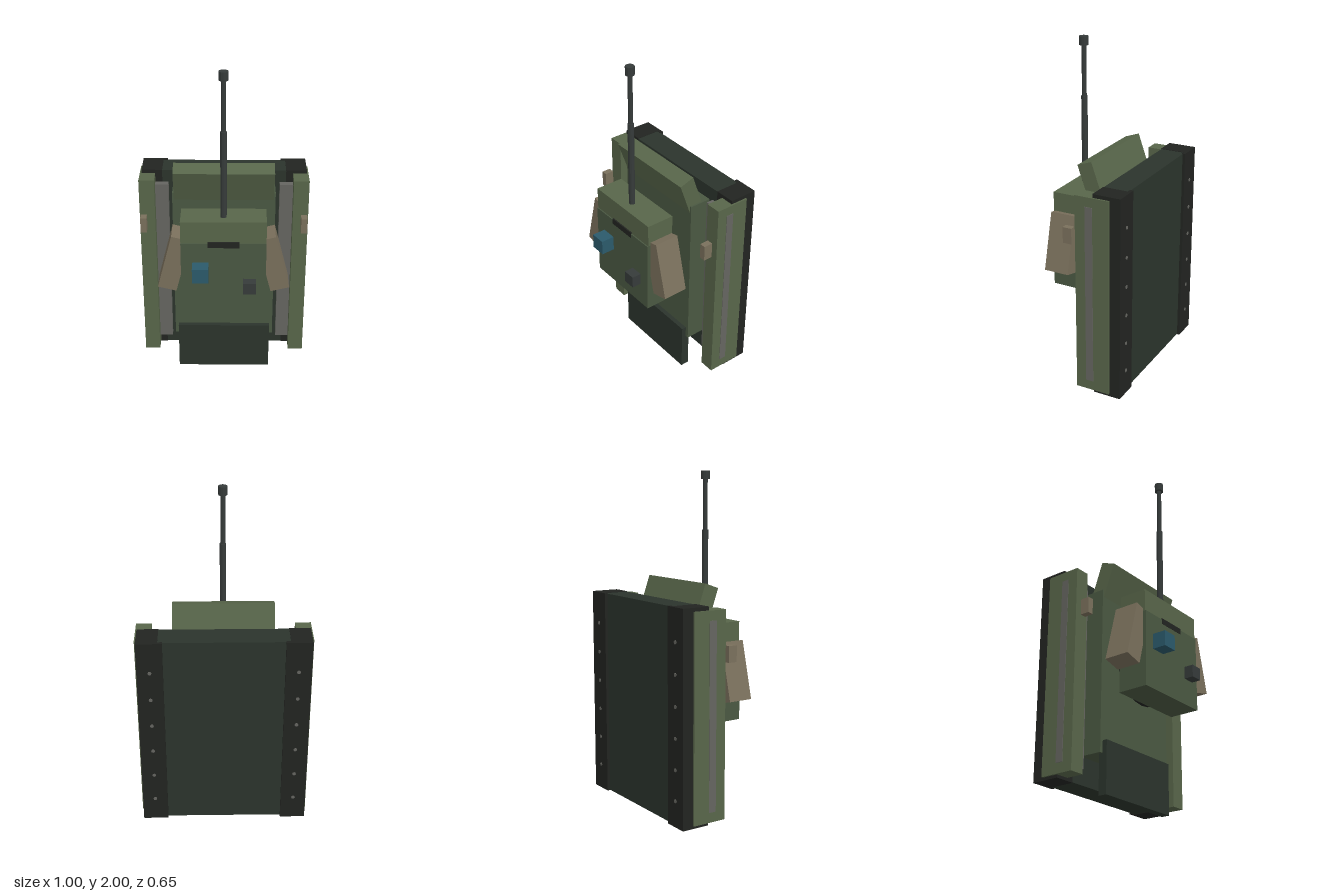
import * as THREE from 'three';

const mat = (color) => new THREE.MeshStandardMaterial({ color, flatShading: true });

export function createModel() {
  const model = new THREE.Group();
  const green = mat(0x58664a), olive = mat(0x4a5842), deep = mat(0x2b342c);
  const black = mat(0x222421), grey = mat(0x656560), tan = mat(0x7a705c);
  const steel = mat(0x363b3a), blue = mat(0x2b5a6b);

  const add = (name, geometry, material, x, y, z) => {
    const mesh = new THREE.Mesh(geometry, material);
    mesh.name = name;
    mesh.position.set(x, y, z);
    model.add(mesh);
    return mesh;
  };
  // Box given by its lower and upper limits on each axis
  const box = (name, material, [x0, x1], [y0, y1], [z0, z1]) =>
    add(name, new THREE.BoxGeometry(x1 - x0, y1 - y0, z1 - z0), material,
      (x0 + x1) / 2, (y0 + y1) / 2, (z0 + z1) / 2);
  // Mirrored pair of boxes, limits given for the left side
  const pair = (name, material, [x0, x1], y, z) => {
    box(name + 'Left', material, [x0, x1], y, z);
    box(name + 'Right', material, [-x1, -x0], y, z);
  };

  // Hull, standing upright with its belly to the back
  box('lowerHull', deep, [-0.366, 0.366], [0.073, 1.283], [-0.305, -0.155]);
  box('upperHull', olive, [-0.3, 0.3], [0.23, 1.2], [-0.156, -0.022]);
  box('rearFlap', deep, [-0.28, 0.28], [0, 0.3], [-0.045, 0.006]);
  const glacis = add('glacisPlate', new THREE.BoxGeometry(0.58, 0.3, 0.092), green, 0, 1.227, -0.046);
  glacis.rotation.x = 0.34;

  // Tracks, skirts and side details
  pair('track', black, [0.364, 0.485], [0.07, 1.286], [-0.31, -0.154]);
  pair('trackTread', black, [0.338, 0.485], [0.07, 1.286], [-0.321, -0.3]);
  pair('skirt', green, [0.405, 0.495], [0.087, 1.265], [-0.255, -0.05]);
  pair('sideRail', grey, [0.327, 0.498], [0.145, 1.21], [-0.157, -0.112]);
  pair('lamp', tan, [0.45, 0.486], [0.967, 1.06], [-0.022, 0.032]);
  for (const side of [1, -1]) {
    for (let i = 0; i < 6; i++) {
      const bolt = add('trackBolt', new THREE.CylinderGeometry(0.011, 0.011, 0.012, 8), grey,
        side * 0.412, 0.22 + i * 0.176, -0.318);
      bolt.rotation.x = Math.PI / 2;
    }
  }

  // Turret with ring, cheek plates and sights
  const ring = add('turretRing', new THREE.CylinderGeometry(0.22, 0.22, 0.04, 24), black, 0, 0.79, 0.045);
  ring.rotation.x = Math.PI / 2;
  box('turretBody', olive, [-0.243, 0.243], [0.565, 1.012], [0.058, 0.241]);
  box('turretFront', green, [-0.243, 0.243], [1.012, 1.145], [0.065, 0.234]);
  box('mantletSlot', black, [-0.09, 0.09], [0.985, 1.02], [0.2, 0.242]);
  for (const side of [1, -1]) {
    const cheek = add(side > 0 ? 'cheekPlateLeft' : 'cheekPlateRight',
      new THREE.BoxGeometry(0.11, 0.341, 0.15), tan, side * 0.284, 0.866, 0.145);
    cheek.rotation.z = side * 0.25;
  }
  box('sightBox', blue, [-0.177, -0.085], [0.8, 0.89], [0.235, 0.322]);
  box('hatchBox', steel, [0.112, 0.186], [0.716, 0.788], [0.248, 0.304]);

  // Gun, pointing up
  const tube = (name, radius, y0, y1) =>
    add(name, new THREE.CylinderGeometry(radius, radius, y1 - y0, 12), steel, 0, (y0 + y1) / 2, 0.164);
  tube('barrelBase', 0.018, 1.1, 1.66);
  tube('barrelTip', 0.0135, 1.66, 1.96);
  tube('muzzle', 0.026, 1.95, 2);

  return model;
}
